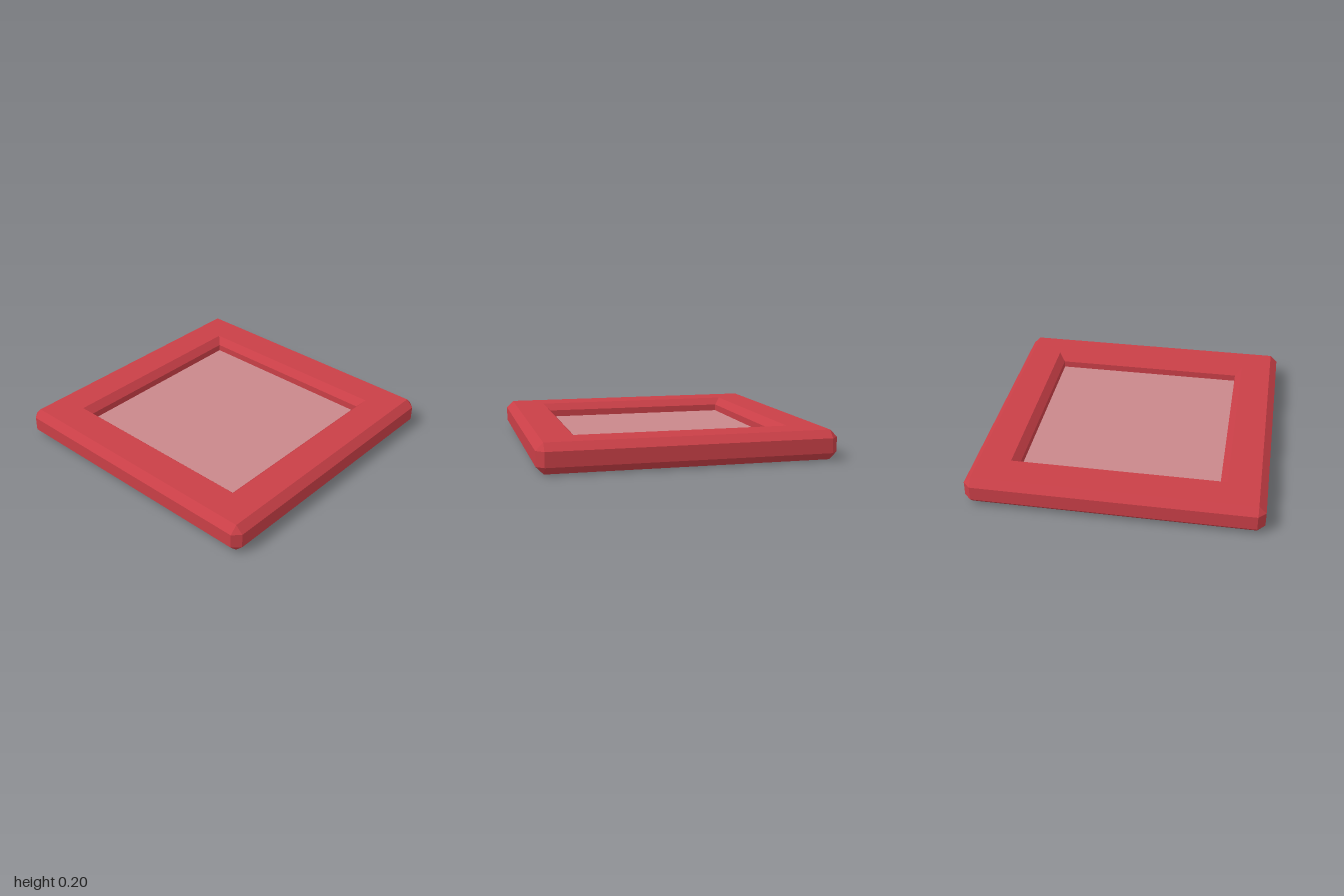
import * as THREE from 'three';

// Square ring of half width r, with corners cut back by c, as 8 points at height y
function ring(r, c, y) {
  const k = r - c;
  return [[r, k], [k, r], [-k, r], [-r, k], [-r, -k], [-k, -r], [k, -r], [r, -k]]
    .map(([x, z]) => new THREE.Vector3(x, y, z));
}

// Joins successive rings with flat quads, skipping collapsed triangles
function loftRings(rings) {
  const pos = [];
  const tri = (a, b, c) => {
    const area = b.clone().sub(a).cross(c.clone().sub(a)).length();
    if (area > 1e-7) for (const p of [a, b, c]) pos.push(p.x, p.y, p.z);
  };
  for (let i = 0; i < rings.length; i++) {
    const lo = rings[i], hi = rings[(i + 1) % rings.length];
    for (let j = 0; j < 8; j++) {
      const k = (j + 1) % 8;
      tri(lo[j], hi[j], hi[k]);
      tri(lo[j], hi[k], lo[k]);
    }
  }
  const geo = new THREE.BufferGeometry();
  geo.setAttribute('position', new THREE.Float32BufferAttribute(pos, 3));
  geo.computeVertexNormals();
  return geo;
}

export function createModel() {
  const group = new THREE.Group();
  const red = new THREE.MeshStandardMaterial({ name: 'frameRed', color: 0xc93f47 });
  const pink = new THREE.MeshStandardMaterial({ name: 'panelPink', color: 0xc9878a });

  // Chamfered frame: up the outside, across the top, down the opening
  const frame = new THREE.Mesh(loftRings([
    ring(0.95, 0, 0), ring(1, 0.05, 0.05), ring(1, 0.05, 0.15), ring(0.95, 0, 0.2),
    ring(0.732, 0, 0.2), ring(0.685, 0, 0.15), ring(0.685, 0, 0.05), ring(0.732, 0, 0),
  ]), red);
  frame.name = 'frame';

  // Inset panel at mid height
  const panel = new THREE.Mesh(new THREE.BoxGeometry(1.37, 0.02, 1.37), pink);
  panel.name = 'panel';
  panel.position.y = 0.092;

  group.add(frame, panel);
  return group;
}
